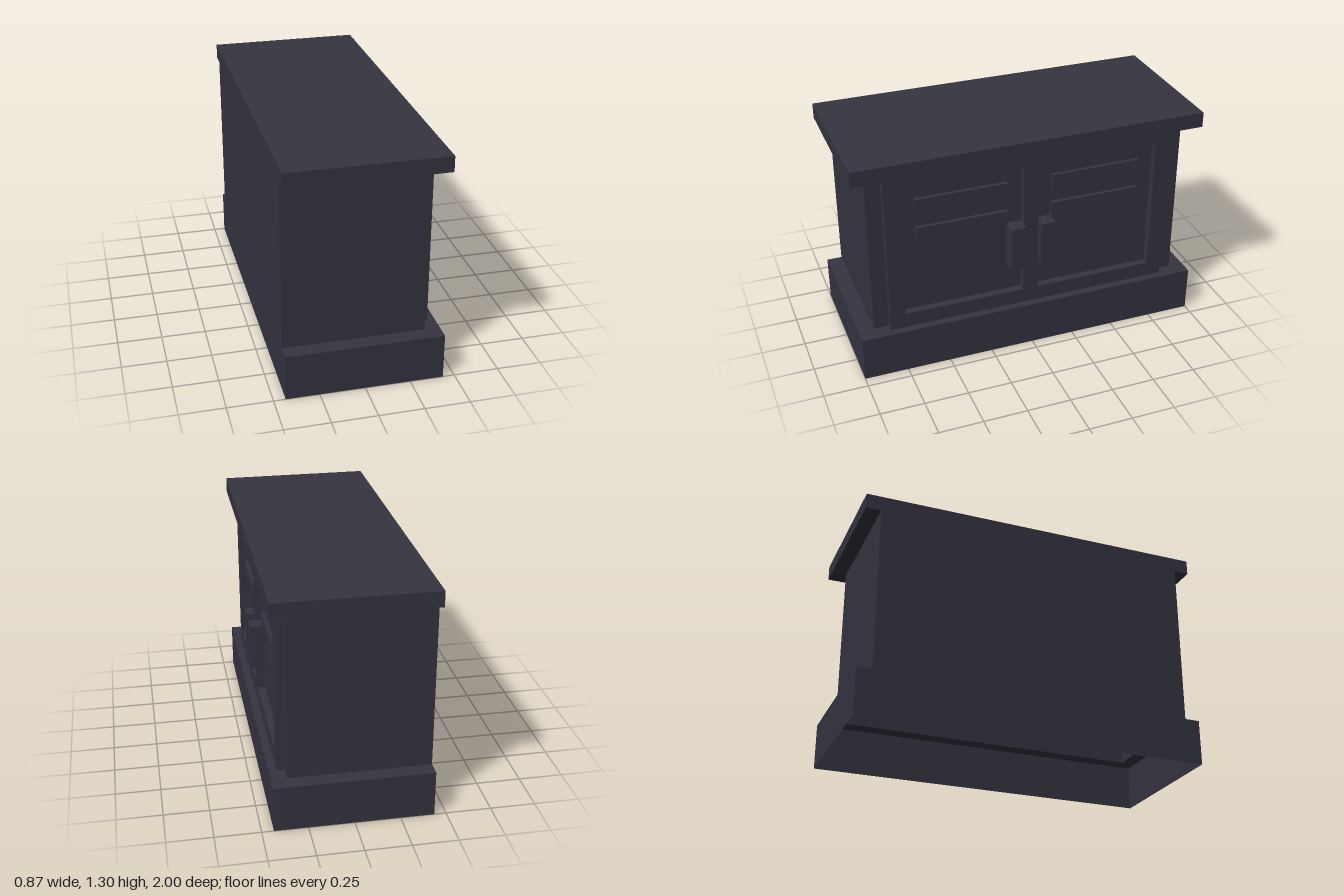
import * as THREE from 'three';

const U = 1 / 23; // modular unit of the cabinet
const PX = 0, PY = 2, NY = 3; // box face numbers that may be left open

export function createModel() {
  const group = new THREE.Group();
  const paint = new THREE.MeshStandardMaterial({ color: 0x353440, side: THREE.DoubleSide });
  paint.name = 'dark slate paint';

  const add = (name, geometry) => {
    const mesh = new THREE.Mesh(geometry, paint);
    mesh.name = name;
    group.add(mesh);
    return mesh;
  };

  // Box between two corners given in units, with some faces left open
  const box = (name, x0, x1, y0, y1, z0, z1, open = []) => {
    const g = new THREE.BoxGeometry((x1 - x0) * U, (y1 - y0) * U, (z1 - z0) * U);
    const index = Array.from(g.index.array).filter((_, i) => !open.includes(Math.floor(i / 6)));
    g.setIndex(index);
    g.clearGroups();
    g.translate((x0 + x1) / 2 * U, (y0 + y1) / 2 * U, (z0 + z1) / 2 * U);
    return add(name, g);
  };

  const outline = (points) => new THREE.Shape(points.map(([a, b]) => new THREE.Vector2(a * U, b * U)));
  const rect = (a0, a1, b0, b1) => outline([[a0, b0], [a1, b0], [a1, b1], [a0, b1]]);

  // Hollow shell: plinth open below, body open at both ends, closed top slab
  box('plinth', -10, 10, 0, 6, -23, 23, [PY, NY]);
  box('body', -10, 8, 6, 28, -21, 21, [PY, NY]);
  box('topSlab', -10, 10, 28, 30, -23, 23, [NY]);

  // U-shaped ledges round the body, on the plinth and under the slab
  const ledge = outline([[-10, -23], [10, -23], [10, 23], [-10, 23], [-10, 21], [8, 21], [8, -21], [-10, -21]]);
  for (const [name, y, turn] of [['plinthLedge', 6, -1], ['slabUnderside', 28, 1]]) {
    const g = new THREE.ShapeGeometry(ledge);
    g.rotateX(turn * Math.PI / 2);
    g.translate(0, y * U, 0);
    add(name, g);
  }

  // Front frame with two door openings
  const frame = rect(-19, 19, 6, 28);
  frame.holes.push(rect(1, 17, 8, 26), rect(-17, -1, 8, 26));
  const frameGeometry = new THREE.ExtrudeGeometry(frame, { depth: U, bevelEnabled: false });
  frameGeometry.rotateY(Math.PI / 2);
  frameGeometry.translate(8 * U, 0, 0);
  add('frontFrame', frameGeometry);

  // Slats and handle on each door
  for (const [side, s] of [['left', 1], ['right', -1]]) {
    const span = (a, b) => (s > 0 ? [a, b] : [-b, -a]);
    box(side + 'UpperSlat', 8, 8.5, 22, 24, ...span(3, 15));
    box(side + 'LowerSlat', 8, 8.5, 18, 20, ...span(3, 15));
    box(side + 'Handle', 8, 10, 12, 18, ...span(1, 3));
  }

  return group;
}
